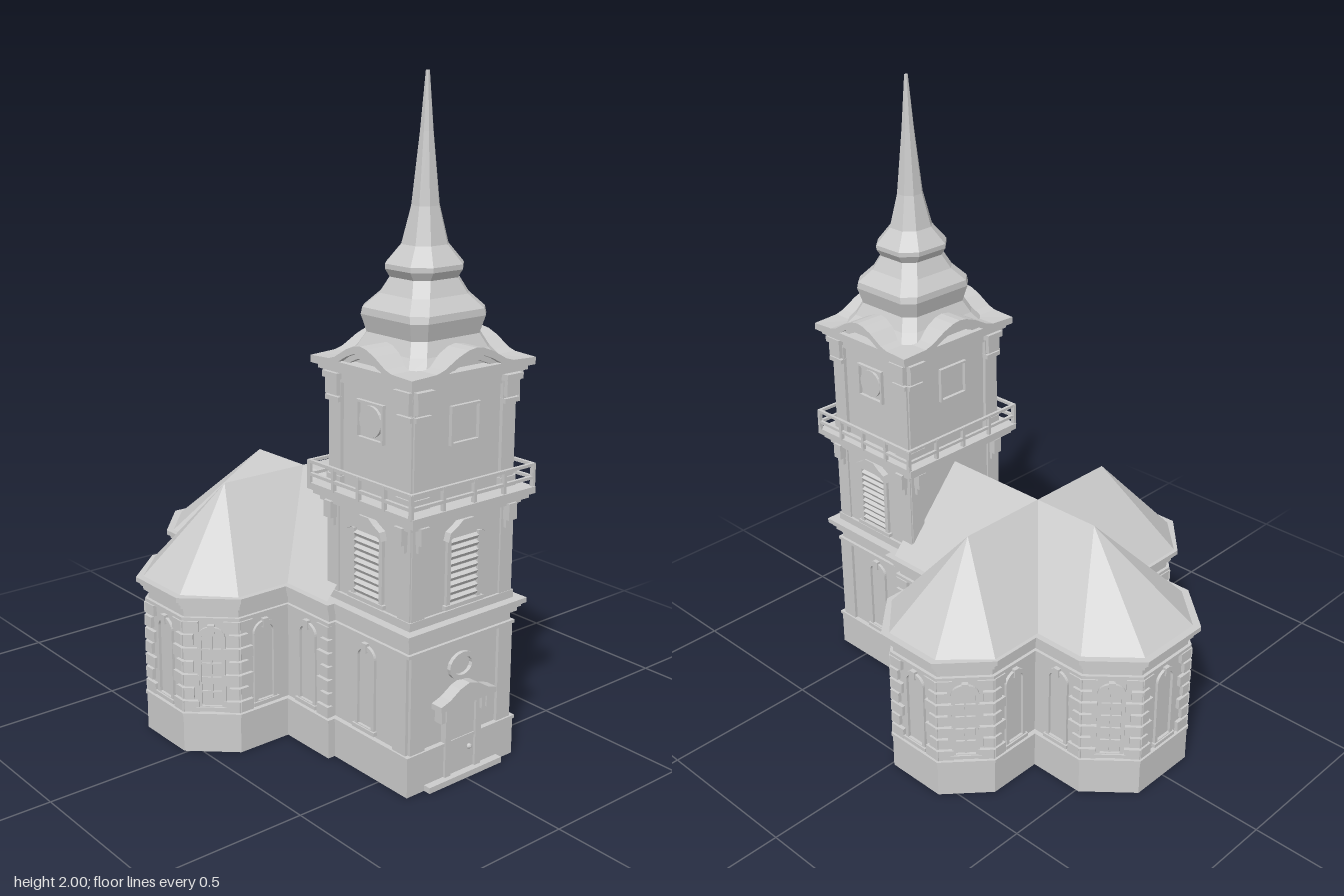
import * as THREE from 'three';

const mat = new THREE.MeshStandardMaterial({ color: 0xcccccc, flatShading: true });
const thin = new THREE.MeshStandardMaterial({ color: 0xcccccc, flatShading: true, side: THREE.DoubleSide });

function add(parent, name, geo, x = 0, y = 0, z = 0, m = mat) {
  const mesh = new THREE.Mesh(geo, m);
  mesh.name = name;
  mesh.position.set(x, y, z);
  parent.add(mesh);
  return mesh;
}
const box = (p, name, w, h, d, x, y, z) => add(p, name, new THREE.BoxGeometry(w, h, d), x, y, z);
const shapeOf = pts => new THREE.Shape(pts.map(p => new THREE.Vector2(...p)));
const extrude = (shape, depth) =>
  new THREE.ExtrudeGeometry(shape, { depth, bevelEnabled: false, curveSegments: 8 });

// Ground plan (x, z): cross with chamfered arms and the tower at +x
const half = [[-.635, .11], [-.505, .225], [-.315, .225], [-.315, .41], [-.205, .53], [-.015, .53],
  [.095, .41], [.095, .225], [.29, .225], [.29, .2], [.608, .2]];
const plan = [...half, ...half.map(([x, z]) => [x, -z]).reverse()];
const dir = (a, b) => {
  const l = Math.hypot(b[0] - a[0], b[1] - a[1]);
  return [(b[0] - a[0]) / l, (b[1] - a[1]) / l, l];
};
const corner = i => {
  const n = plan.length, p = plan[i];
  return [p, dir(plan[(i + n - 1) % n], p), dir(p, plan[(i + 1) % n])];
};
const isConvex = i => {
  const [, d, e] = corner((i + plan.length) % plan.length);
  return d[0] * e[1] - d[1] * e[0] < 0;
};
// Plan moved outwards by r, as a horizontal slab
function slab(p, name, r, y0, y1) {
  const pts = plan.map((_, i) => {
    const [q, d, e] = corner(i);
    const nx = -d[1] - e[1], nz = d[0] + e[0], k = r * 2 / (nx * nx + nz * nz);
    return [q[0] + nx * k, -(q[1] + nz * k)];
  });
  add(p, name, extrude(shapeOf(pts), y1 - y0).rotateX(-Math.PI / 2), 0, y0, 0);
}

// Round-headed outline, base at y = 0
function arch(w, h, C = THREE.Shape) {
  const s = new C(), r = w / 2, sh = h - r * .8;
  s.moveTo(-r, 0); s.lineTo(r, 0); s.lineTo(r, sh);
  s.absellipse(0, sh, r, r * .8, 0, Math.PI, false);
  s.lineTo(-r, 0);
  return s;
}
function archWindow(wall, x, bars) {
  const g = new THREE.Group();
  g.name = 'archedWindow';
  g.position.set(x, .135, 0);
  wall.add(g);
  const frame = arch(.084, .265);
  const hole = arch(.06, .24, THREE.Path);
  frame.holes.push(new THREE.Path(hole.getPoints(8).map(p => p.add(new THREE.Vector2(0, .012)))));
  add(g, 'windowFrame', extrude(frame, .009));
  box(g, 'sill', .095, .012, .016, 0, .004, .006);
  box(g, 'keystone', .02, .028, .014, 0, .258, .006);
  if (bars) {
    box(g, 'mullion', .006, .23, .006, 0, .13, .003);
    for (let i = 1; i < 5; i++) box(g, 'glazingBar', .06, .005, .006, 0, .012 + i * .045, .003);
  }
}

function buildWalls(root) {
  const g = new THREE.Group();
  g.name = 'walls';
  root.add(g);
  slab(g, 'wallBody', 0, 0, .48);
  slab(g, 'plinth', .012, 0, .115);
  slab(g, 'plinthCap', .016, .115, .125);
  slab(g, 'frieze', .01, .42, .43);
  slab(g, 'corniceLower', .014, .458, .473);
  slab(g, 'cornice', .022, .473, .485);
  slab(g, 'eaves', .033, .485, .5);
  plan.forEach((a, i) => {
    const b = plan[(i + 1) % plan.length], [dx, dz, len] = dir(a, b);
    const wall = new THREE.Group();
    wall.name = 'wallDetails';
    wall.position.set((a[0] + b[0]) / 2, 0, (a[1] + b[1]) / 2);
    wall.rotation.y = Math.atan2(-dz, dx);
    g.add(wall);
    const isTower = a[0] + b[0] > .8;
    const chamfer = Math.abs(dx * dz) > .1;
    if (len > .1 && !(isTower && Math.abs(dx) < .1))
      archWindow(wall, isTower ? (dx > 0 ? -.019 : .019) * 1 * Math.sign(a[1] + b[1]) * Math.sign(dx) : 0, chamfer);
    // Quoins at outer corners, plain strips at the tower corners
    for (const s of [-1, 1]) {
      const k = s < 0 ? i : i + 1;
      if (!isConvex(k % plan.length) || len < .1) continue;
      const atTower = plan[k % plan.length][0] > .5;
      if (atTower) box(wall, 'cornerStrip', .055, .3, .012, s * (len / 2 - .0275), .275, .004);
      else for (let r = 0; r < 7; r++)
        box(wall, 'quoin', r % 2 ? .036 : .052, .034, .02, s * (len / 2 + .008 - (r % 2 ? .018 : .026)), .146 + r * .0425, .002);
    }
  });
}

// Hipped cross roof; each arm is given along u and mirrored across v
function buildRoof(root) {
  const pos = [];
  const tri = (a, b, c) => {
    const up = (b[2] - a[2]) * (c[0] - a[0]) - (b[0] - a[0]) * (c[2] - a[2]);
    pos.push(...a, ...(up >= 0 ? [...b, ...c] : [...c, ...b]));
  };
  const arms = [ // direction, notch, width, shoulder, end, end half width, ridge length
    [-1, 0, .225, .24, .395, .535, .115, .23],
    [0, 1, .24, .225, .42, .543, .1, .305],
    [0, -1, .24, .225, .42, .543, .1, .305],
    [1, 0, .225, .24, .41, .41, 0, .41],
  ];
  for (const [ux, uz, n, w, s, e, h, r] of arms) {
    const P = (u, v, y) => [-.113 + ux * u - uz * v, y, uz * u + ux * v];
    const top = P(0, 0, .772), apex = P(r, 0, .772);
    for (const m of [-1, 1]) {
      const shoulder = P(s, m * w, .498);
      tri(top, P(n, m * w, .498), shoulder);
      tri(top, shoulder, apex);
      if (e > s) {
        tri(apex, shoulder, P(e, m * h, .498));
        tri(apex, P(e, m * h, .498), P(e, 0, .498));
      }
    }
  }
  const geo = new THREE.BufferGeometry();
  geo.setAttribute('position', new THREE.Float32BufferAttribute(pos, 3));
  geo.computeVertexNormals();
  add(root, 'naveRoof', geo, 0, 0, 0, thin);
}

// Door with step, hood on brackets and an oval light, facing local +z
function buildDoor(f, d) {
  const g = new THREE.Group();
  g.name = 'entrance';
  g.position.z = d;
  f.add(g);
  box(g, 'doorStep', .29, .018, .07, 0, .009, 0);
  box(g, 'doorLeaf', .096, .21, .018, 0, .123, .004);
  for (const s of [-1, 1]) {
    box(g, 'doorJamb', .022, .22, .028, s * .06, .128, .006);
    for (const x of [.07, .09]) box(g, 'hoodBracket', .014, .045, .034, s * x, .22, .012);
  }
  add(g, 'doorKnob', new THREE.SphereGeometry(.008, 8, 6), .028, .085, .016);
  const hood = shapeOf([[-.11, .24], [.11, .24], [.11, .257], [.075, .268], [.035, .292], [0, .302],
    [-.035, .292], [-.075, .268], [-.11, .257]]);
  add(g, 'doorHood', extrude(hood, .04));
  const oval = new THREE.Shape().absellipse(0, .345, .052, .042, 0, Math.PI * 2);
  oval.holes.push(new THREE.Path().absellipse(0, .345, .036, .028, 0, Math.PI * 2));
  add(g, 'ovalLight', extrude(oval, .012));
}

function louvre(f, d) {
  const g = new THREE.Group();
  g.name = 'louvredWindow';
  g.position.z = d;
  f.add(g);
  for (const s of [-1, 1]) box(g, 'louvreJamb', .014, .2, .014, s * .06, .64, .003);
  box(g, 'louvreSill', .15, .012, .02, 0, .537, .004);
  for (let i = 0; i < 9; i++) box(g, 'louvreSlat', .106, .011, .014, 0, .557 + i * .021, .003).rotation.x = .5;
  add(g, 'louvreHood', extrude(shapeOf([[-.075, .735], [-.05, .748], [0, .755], [.05, .748], [.075, .735],
    [.068, .76], [.04, .775], [.02, .79], [-.02, .79], [-.04, .775], [-.068, .76]]), .022));
}

function buildTower(root) {
  const t = new THREE.Group();
  t.name = 'tower';
  t.position.x = .43;
  root.add(t);
  box(t, 'middleStage', .35, .34, .39, 0, .66, 0);
  box(t, 'upperStage', .335, .38, .375, 0, 1.01, 0);
  box(t, 'middleStageBase', .366, .025, .408, 0, .512, 0);
  [[.385, .43, .8, .015], [.425, .45, .815, .015], [.45, .475, .832, .02]].forEach(([w, d, y, h]) =>
    box(t, 'balconyFloor', w, h, d, 0, y, 0));

  for (let k = 0; k < 4; k++) {
    const f = new THREE.Group(), odd = k % 2;
    f.name = 'towerFace';
    f.rotation.y = k * Math.PI / 2;
    t.add(f);
    const d = odd ? .175 : .195, w = odd ? .195 : .175;
    if (k === 1) buildDoor(f, .178);
    if (k < 3) louvre(f, d);
    for (const s of [-1, 1]) {
      box(f, 'middlePilaster', .05, .29, .012, s * (w - .023), .66, d);
      box(f, 'balconyCorbel', .032, .05, .035, s * (w - .025), .775, d + .012);
      box(f, 'corbelFoot', .026, .03, .02, s * (w - .025), .74, d + .006);
      box(f, 'upperPilaster', .052, .33, .016, s * (w - .028), 1.01, d - .004);
      box(f, 'pilasterBase', .06, .03, .022, s * (w - .028), .86, d - .002);
      box(f, 'capital', .058, .014, .03, s * (w - .026), 1.1, d);
      box(f, 'capital', .05, .045, .034, s * (w - .026), 1.135, d);
      box(f, 'capital', .064, .018, .046, s * (w - .026), 1.168, d);
    }
    // Balcony railing
    const rw = w + .04, rd = d + .04;
    for (const y of [.868, .906]) box(f, 'handrail', rw * 2 + .01, .009, .01, 0, y, rd);
    for (let i = 0; i < 5; i++) box(f, 'railPost', .01, .07, .012, -rw + i * rw / 2, .873, rd);
    // Square panel, with a round dial on the two broad sides
    const panel = shapeOf([[-.056, 1.003], [.056, 1.003], [.056, 1.115], [-.056, 1.115]]);
    panel.holes.push(new THREE.Path([[-.049, 1.01], [.049, 1.01], [.049, 1.108], [-.049, 1.108]].map(p => new THREE.Vector2(...p))));
    add(f, 'panelFrame', extrude(panel, .012), 0, 0, d - .008);
    if (!odd) add(f, 'dial', new THREE.CylinderGeometry(.045, .045, .014, 20).rotateX(Math.PI / 2), 0, 1.059, d - .006);
  }

  // Crossing gables with a swept cornice
  const curve = [[1, 0], [.62, .004], [.5, .012], [.28, .04], [.12, .054], [0, .058]];
  const swept = (hw, lo, hi, flat) => {
    const right = curve.map(([a, b]) => [a * hw, b]), all = [...right, ...right.slice(0, -1).reverse().map(([a, b]) => [-a, b])];
    const bottom = all.map(([a, b]) => [a, lo + (flat ? 0 : b)]);
    return shapeOf([...all.map(([a, b]) => [a, hi + b]), ...bottom.reverse()]);
  };
  for (const [hw, hd, turn] of [[.21, .235, 0], [.235, .21, Math.PI / 2]]) {
    for (const [inset, lo, hi, flat, name] of [[0, 1.197, 1.218, false, 'gableCornice'],
      [.015, 1.182, 1.2, false, 'gableMoulding'], [.035, 1.15, 1.19, true, 'gableWall']]) {
      const m = add(t, name, extrude(swept(hw - inset, lo, hi, flat), (hd - inset) * 2).translate(0, 0, inset - hd));
      m.rotation.y = turn;
    }
  }

  // Bell-shaped dome and spire: chamfered square rings [y, half width, chamfer share]
  const rings = [[1.21, .168, .2], [1.25, .14, .22], [1.29, .122, .25], [1.34, .135, .25], [1.36, .133, .27],
    [1.4, .1, .33], [1.445, .08, .4], [1.468, .094, .45], [1.482, .094, .45], [1.535, .058, .5],
    [1.64, .036, .55], [1.84, .017, .55], [2, .005, .55]];
  const pos = [], idx = [];
  rings.forEach(([y, r, c]) => {
    const q = r * (1 - c);
    [[r, -q], [r, q], [q, r], [-q, r], [-r, q], [-r, -q], [-q, -r], [q, -r]].forEach(([x, z]) => pos.push(x, y, z * 1.07));
  });
  for (let j = 0; j < rings.length - 1; j++) for (let i = 0; i < 8; i++) {
    const a = j * 8 + i, b = j * 8 + (i + 1) % 8;
    idx.push(a, a + 8, b, b, a + 8, b + 8);
  }
  const top = (rings.length - 1) * 8;
  for (let i = 1; i < 7; i++) idx.push(top, top + i + 1, top + i);
  const geo = new THREE.BufferGeometry();
  geo.setAttribute('position', new THREE.Float32BufferAttribute(pos, 3));
  geo.setIndex(idx);
  geo.computeVertexNormals();
  add(t, 'domeAndSpire', geo);
}

export function createModel() {
  const root = new THREE.Group();
  root.name = 'church';
  buildWalls(root);
  buildRoof(root);
  buildTower(root);
  return root;
}
